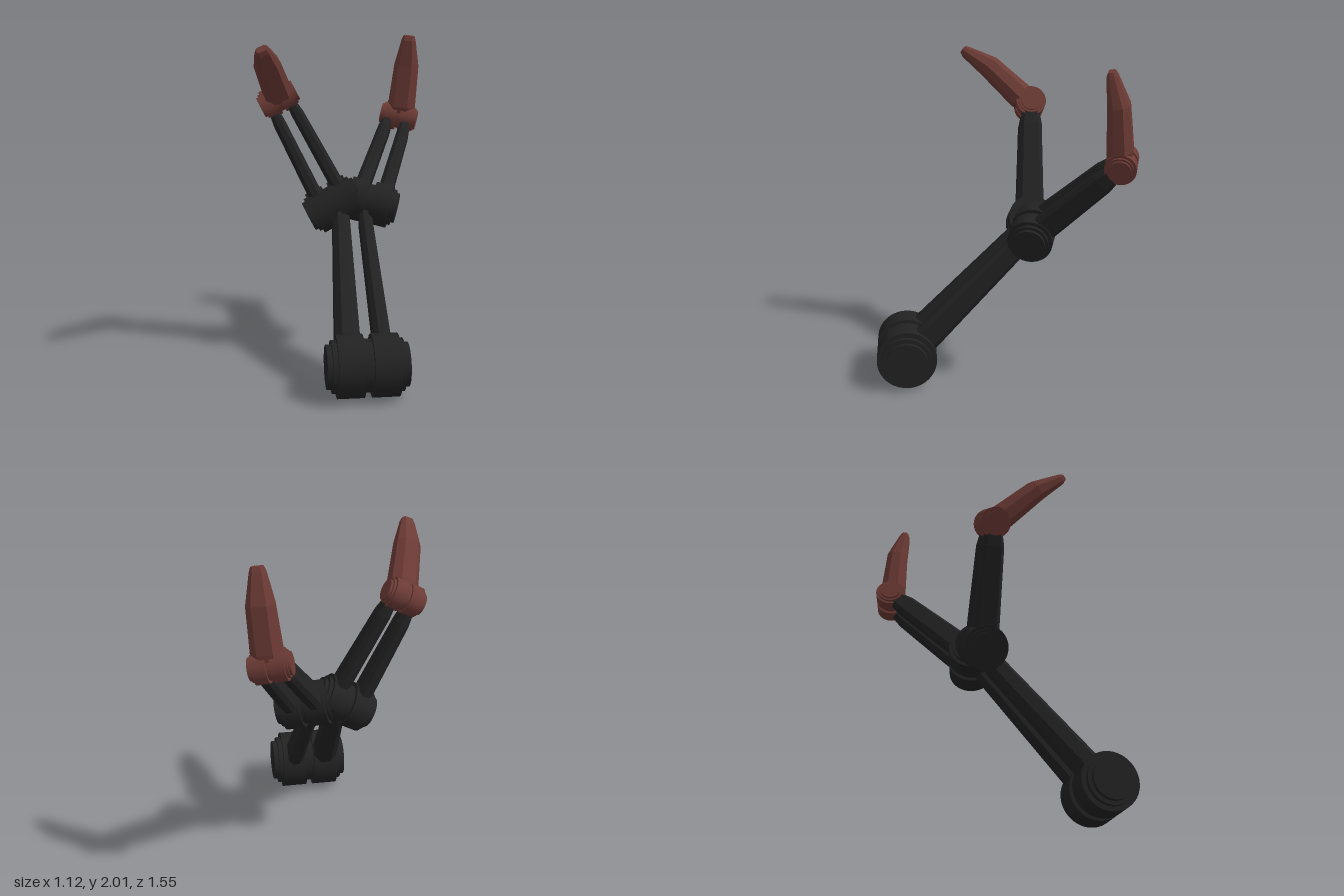
import * as THREE from 'three';

const dark = new THREE.MeshStandardMaterial({ color: 0x222222 });
const darkFlat = new THREE.MeshStandardMaterial({ color: 0x222222, flatShading: true });
const red = new THREE.MeshStandardMaterial({ color: 0x6b3a35 });
const redFlat = new THREE.MeshStandardMaterial({ color: 0x6b3a35, flatShading: true });
const V = (a) => new THREE.Vector3(...a);

// Group whose x runs along the hinge axis and y from one point towards another
function hingeFrame(name, from, to, axis) {
  const y = V(to).sub(V(from)).normalize();
  const x = V(axis);
  x.addScaledVector(y, -x.dot(y)).normalize();
  const z = x.clone().cross(y);
  const g = new THREE.Group();
  g.name = name;
  g.quaternion.setFromRotationMatrix(new THREE.Matrix4().makeBasis(x, y, z));
  g.position.copy(V(from));
  return g;
}

// Closed loft through chamfered rectangles: [y, width, depth, x offset, z offset]
function loft(sections, chamfer = 0.28) {
  const rings = sections.map(([y, w, d, cx = 0, cz = 0]) => {
    const a = w / 2, b = d / 2, c = Math.min(w, d) * chamfer;
    return [[a, -b + c], [a, b - c], [a - c, b], [-a + c, b], [-a, b - c], [-a, -b + c], [-a + c, -b], [a - c, -b]]
      .map(([x, z]) => new THREE.Vector3(x + cx, y, z + cz));
  });
  const tris = [];
  const n = 8, last = rings[rings.length - 1];
  for (let r = 0; r < rings.length - 1; r++) {
    for (let i = 0; i < n; i++) {
      const j = (i + 1) % n, lo = rings[r], hi = rings[r + 1];
      tris.push(lo[i], hi[i], hi[j], lo[i], hi[j], lo[j]);
    }
  }
  for (let i = 1; i < n - 1; i++) {
    tris.push(rings[0][0], rings[0][i], rings[0][i + 1]);
    tris.push(last[0], last[i + 1], last[i]);
  }
  const geo = new THREE.BufferGeometry().setFromPoints(tris);
  geo.computeVertexNormals();
  return geo;
}

function addMesh(parent, name, geo, mat) {
  const m = new THREE.Mesh(geo, mat);
  m.name = name;
  parent.add(m);
  return m;
}

// Stepped joint: two drums, a narrower core and small end caps
function hub(name, center, axis, radius, mat) {
  const g = new THREE.Group();
  g.name = name;
  const s = radius / 0.185;
  const part = (label, x, len, r) => {
    const geo = new THREE.CylinderGeometry(r * s, r * s, len * s, 40);
    geo.rotateZ(-Math.PI / 2);
    addMesh(g, label, geo, mat).position.x = x * s;
  };
  part('endCaps', 0, 0.48, 0.13);
  part('core', 0, 0.42, 0.155);
  for (const side of [-1, 1]) part('drum', side * 0.103, 0.156, 0.185);
  g.quaternion.setFromUnitVectors(new THREE.Vector3(1, 0, 0), V(axis).normalize());
  g.position.copy(V(center));
  return g;
}

// Finger: lower joint, twin struts, knuckle and claw
function finger(name, base, knuckle, tip, axis) {
  const g = new THREE.Group();
  g.name = name;
  g.add(hub('lowerJoint', base, axis, 0.136, dark));
  g.add(hub('knuckle', knuckle, axis, 0.0925, red));

  const struts = hingeFrame('struts', base, knuckle, axis);
  const len = V(base).distanceTo(V(knuckle));
  for (const s of [-1, 1]) {
    addMesh(struts, 'strut', loft([
      [0.02, 0.09, 0.16, s * 0.077],
      [0.18, 0.088, 0.155, s * 0.074],
      [len - 0.14, 0.078, 0.135, s * 0.064],
      [len - 0.02, 0.055, 0.09, s * 0.058],
    ]), darkFlat);
  }
  g.add(struts);

  const claw = hingeFrame('claw', knuckle, tip, axis);
  addMesh(claw, 'clawBlade', loft([
    [0, 0.13, 0.12],
    [0.08, 0.175, 0.15, 0.01],
    [0.35, 0.155, 0.125, 0.005, -0.02],
    [0.52, 0.09, 0.065],
    [0.548, 0.07, 0.04],
  ]), redFlat);
  g.add(claw);
  return g;
}

export function createModel() {
  const model = new THREE.Group();
  model.name = 'clawArm';

  // Base joint and the two main beams
  const root = [0.05, 0.185, 0.605];
  model.add(hub('baseJoint', root, [1, 0, 0], 0.185, dark));
  const beams = hingeFrame('mainBeams', root, [0.05, 0.965, -0.165], [1, 0, 0]);
  addMesh(beams, 'wideBeam', loft([
    [0.02, 0.15, 0.16, -0.105, -0.008],
    [0.18, 0.15, 0.165, -0.103, -0.008],
    [0.96, 0.108, 0.135, -0.075],
    [1.08, 0.09, 0.11, -0.07],
  ]), darkFlat);
  addMesh(beams, 'narrowBeam', loft([
    [0.02, 0.105, 0.16, 0.1, -0.008],
    [0.18, 0.1, 0.165, 0.1, -0.008],
    [0.96, 0.08, 0.135, 0.08],
    [1.08, 0.07, 0.11, 0.08],
  ]), darkFlat);
  model.add(beams);

  // The two fingers
  model.add(finger('leftFinger', [0.17, 0.985, -0.175], [0.43, 1.465, -0.65], [0.48, 1.99, -0.57], [0.94, -0.2, 0.26]));
  model.add(finger('rightFinger', [-0.06, 0.98, -0.175], [-0.4, 1.645, -0.21], [-0.515, 1.985, 0.21], [0.89, 0.455, 0]));
  return model;
}
